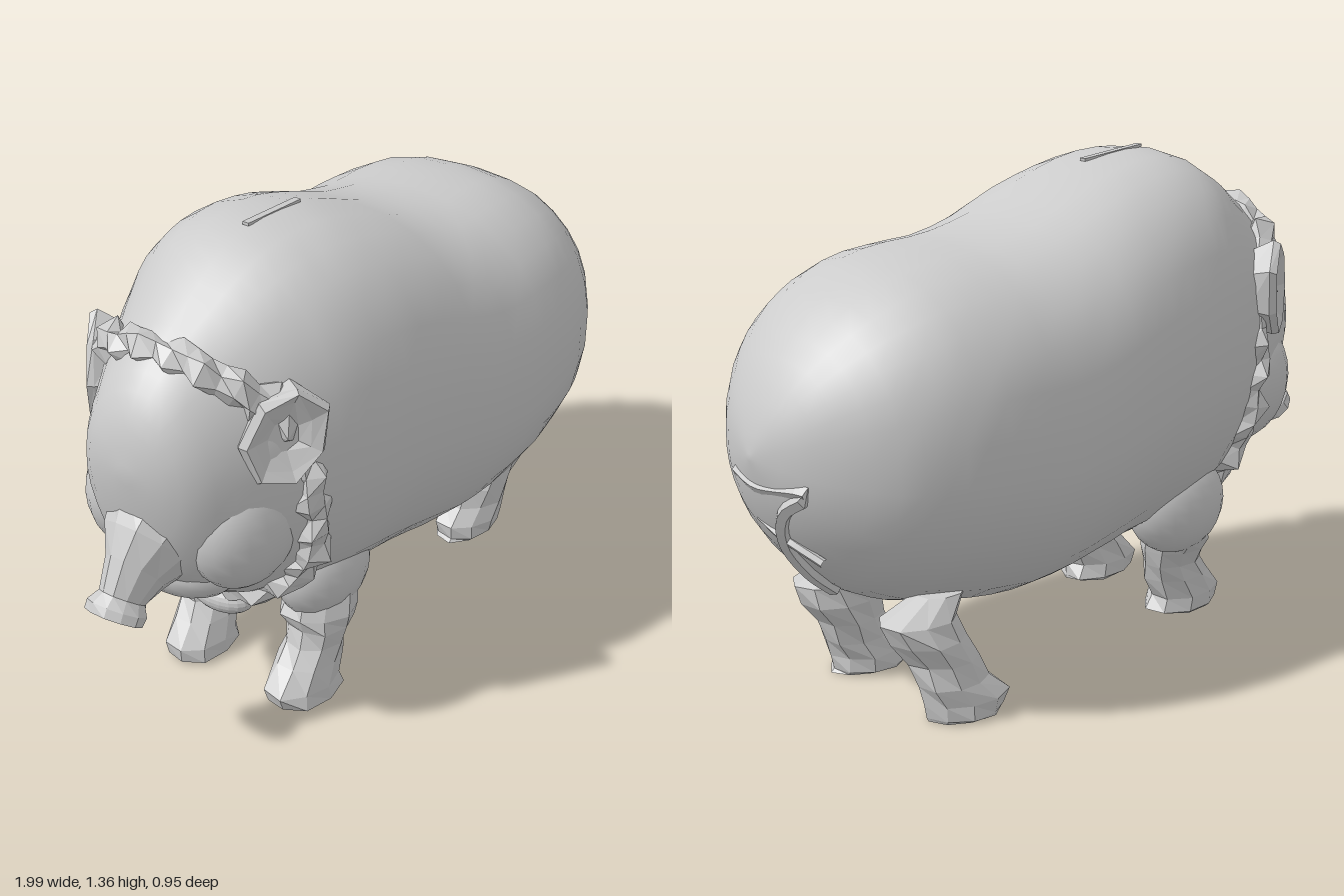
import * as THREE from 'three';

const V = (x, y, z) => new THREE.Vector3(x, y, z);
const smooth = new THREE.MeshStandardMaterial({ color: 0xcccccc });
const faceted = new THREE.MeshStandardMaterial({ color: 0xcccccc, flatShading: true });

// Small repeatable noise in -0.5..0.5
let seed = 7;
const rnd = () => (seed = (seed * 16807) % 2147483647) / 2147483647 - 0.5;

// Skin over rings { c, u, v, full }; u x v points along the loft,
// full < 1 widens the +u half beyond an ellipse
function loft(rings, n, jitter = 0) {
  const pos = [], idx = [];
  for (const { c, u, v, full = 1 } of rings) {
    for (let j = 0; j < n; j++) {
      const a = (j / n) * Math.PI * 2;
      const k = 1 + jitter * rnd();
      const cos = Math.cos(a), sin = Math.sin(a);
      const e = cos > 0 ? full : 1;
      const p = c.clone()
        .addScaledVector(u, Math.sign(cos) * Math.abs(cos) ** e * k)
        .addScaledVector(v, Math.sign(sin) * Math.abs(sin) ** e * k);
      pos.push(p.x, p.y, p.z);
    }
  }
  for (let i = 0; i < rings.length - 1; i++) {
    for (let j = 0; j < n; j++) {
      const a = i * n + j, b = i * n + (j + 1) % n;
      idx.push(a, b, a + n, b, b + n, a + n);
    }
  }
  const first = rings[0].c, last = rings[rings.length - 1].c;
  const s = rings.length * n, e = s - n;
  pos.push(first.x, first.y, first.z, last.x, last.y, last.z);
  for (let j = 0; j < n; j++) {
    const k = (j + 1) % n;
    idx.push(s, k, j, s + 1, e + j, e + k);
  }
  const g = new THREE.BufferGeometry();
  g.setAttribute('position', new THREE.Float32BufferAttribute(pos, 3));
  g.setIndex(idx);
  g.computeVertexNormals();
  return g;
}

export function createModel() {
  const root = new THREE.Group();
  root.name = 'piggyBank';
  const add = (name, geometry, material = faceted) => {
    const m = new THREE.Mesh(geometry, material);
    m.name = name;
    root.add(m);
    return m;
  };
  const ball = (name, size, at, material) => {
    const m = add(name, new THREE.SphereGeometry(1, 20, 14), material);
    m.scale.set(...size);
    m.position.set(...at);
  };

  // Head and body: x, underside, back line, half width
  const stations = [
    [-0.862, 0.83, 0.89, 0.03], [-0.845, 0.72, 0.98, 0.11], [-0.8, 0.56, 1.07, 0.185],
    [-0.72, 0.45, 1.15, 0.24], [-0.6, 0.37, 1.235, 0.3], [-0.5, 0.32, 1.3, 0.345],
    [-0.4, 0.28, 1.343, 0.39], [-0.3, 0.26, 1.355, 0.42], [-0.15, 0.25, 1.337, 0.445],
    [0, 0.23, 1.29, 0.46], [0.15, 0.205, 1.23, 0.472], [0.3, 0.2, 1.195, 0.477],
    [0.45, 0.22, 1.188, 0.475], [0.6, 0.255, 1.17, 0.455], [0.7, 0.29, 1.13, 0.42],
    [0.8, 0.35, 1.07, 0.36], [0.9, 0.46, 0.97, 0.25], [0.96, 0.57, 0.87, 0.15],
    [0.99, 0.67, 0.79, 0.06], [1, 0.72, 0.74, 0.01],
  ];
  const edge = new THREE.CatmullRomCurve3(stations.map(s => V(s[0], s[1], s[3])));
  const ridge = new THREE.CatmullRomCurve3(stations.map(s => V(s[0], s[2], 0)));
  const bodyRings = [];
  const steps = (stations.length - 1) * 2;
  for (let i = 0; i <= steps; i++) {
    const lo = edge.getPoint(i / steps), hi = ridge.getPoint(i / steps);
    bodyRings.push({
      c: V((lo.x + hi.x) / 2, (lo.y + hi.y) / 2, 0),
      u: V(0, (hi.y - lo.y) / 2, 0), v: V(0, 0, lo.z),
      full: 1 - 0.16 * THREE.MathUtils.smoothstep(lo.x, -0.75, -0.4),
    });
  }
  add('body', loft(bodyRings, 30, 0.008), smooth);

  // Snout: x, y, radius in profile, half width, direction
  const snout = [
    [-0.7, 0.68, 0.16, 0.17, -0.8, -0.6], [-0.78, 0.61, 0.14, 0.125, -0.75, -0.66],
    [-0.84, 0.56, 0.105, 0.08, -0.75, -0.66], [-0.893, 0.507, 0.07, 0.06, -0.6, -0.8],
    [-0.918, 0.49, 0.08, 0.08, -0.55, -0.83], [-0.935, 0.47, 0.074, 0.082, -0.55, -0.83],
    [-0.93, 0.478, 0.035, 0.05, -0.55, -0.83],
  ].map(([x, y, r, w, dx, dy]) => ({ c: V(x, y, 0), u: V(-dy * r, dx * r, 0), v: V(0, 0, w) }));
  add('snout', loft(snout, 11, 0.08));

  // Lower jaw
  ball('jaw', [0.13, 0.1, 0.17], [-0.64, 0.5, 0], smooth);

  // Cheeks, shoulders and cupped ears on both sides
  const earProfile = [[-0.12, 0.08], [-0.05, 0.12], [0.015, 0.145], [0.035, 0.13], [0.02, 0.095], [0.0, 0.05]];
  for (const s of [1, -1]) {
    const side = s > 0 ? 'left' : 'right';
    ball(side + 'Cheek', [0.18, 0.19, 0.135], [-0.605, 0.66, 0.165 * s], smooth);
    ball(side + 'Shoulder', [0.16, 0.15, 0.115], [-0.3, 0.365, s > 0 ? 0.195 : -0.225], smooth);

    // The rim leans up and back into a blunt tip
    const out = V(-0.58, -0.05, 0.81 * s).normalize();
    const tip = V(0.18, 0.98, 0.12 * s).normalize();
    const across = out.clone().cross(tip);
    const rings = earProfile.map(([d, r]) => ({
      c: V(-0.595, 0.945, 0.295 * s).addScaledVector(out, d).addScaledVector(tip, r * 0.08),
      u: tip.clone().multiplyScalar(r), v: across.clone().multiplyScalar(r * 0.8),
    }));
    add(side + 'Ear', loft(rings, 7, 0.2));
  }

  // Ruffled collar around the back of the head
  const half = [[-0.7, 1.14, 0], [-0.685, 1.11, 0.14], [-0.635, 1.06, 0.23], [-0.53, 0.92, 0.29],
    [-0.515, 0.75, 0.315], [-0.49, 0.6, 0.305], [-0.48, 0.46, 0.24], [-0.495, 0.37, 0.13], [-0.5, 0.33, 0]];
  const loop = half.concat(half.slice(1, -1).reverse().map(([x, y, z]) => [x, y, -z]));
  const collarPath = new THREE.CatmullRomCurve3(loop.map(p => V(...p)), true);
  const collar = new THREE.TubeGeometry(collarPath, 56, 0.045, 6, true);
  const cp = collar.attributes.position;
  for (let i = 0; i <= 56; i++) {
    const mid = collarPath.getPointAt((i % 56) / 56);
    const k = [0.8, 1.15, 0.95, 1.25][i % 4];
    for (let j = 0; j <= 6; j++) {
      const wave = 1 + 0.25 * Math.sin((i % 56) * 2.3 + (j % 6) * 2.1);
      const q = V(0, 0, 0).fromBufferAttribute(cp, i * 7 + j).sub(mid).multiplyScalar(k * wave).add(mid);
      cp.setXYZ(i * 7 + j, q.x, q.y, q.z);
    }
  }
  add('collar', collar);

  // Knot under the chin
  ball('collarKnot', [0.06, 0.05, 0.1], [-0.495, 0.295, 0], faceted);

  // Legs: y, x, half length, half width, share of the foot-to-hip shift
  const frontLeg = [[0.01, -0.405, 0.125, 0.09, 0], [0.05, -0.41, 0.12, 0.092, 0], [0.11, -0.375, 0.105, 0.08, 0.05],
    [0.16, -0.345, 0.09, 0.078, 0.2], [0.21, -0.335, 0.1, 0.09, 0.4], [0.25, -0.335, 0.11, 0.1, 0.55],
    [0.31, -0.315, 0.1, 0.09, 0.8], [0.38, -0.3, 0.07, 0.06, 1]];
  const hindLeg = [[0.01, 0.55, 0.115, 0.088, 0], [0.05, 0.55, 0.118, 0.09, 0], [0.1, 0.585, 0.1, 0.085, 0.2],
    [0.16, 0.605, 0.095, 0.09, 0.5], [0.22, 0.635, 0.11, 0.1, 0.8], [0.275, 0.655, 0.11, 0.09, 1],
    [0.33, 0.58, 0.07, 0.05, 1]];
  const legs = [
    ['frontLegLeft', frontLeg, 0.21, 0.2], ['frontLegRight', frontLeg, -0.15, -0.225],
    ['hindLegLeft', hindLeg, 0.125, 0.14], ['hindLegRight', hindLeg, -0.295, -0.235],
  ];
  for (const [name, table, zFoot, zHip] of legs) {
    const rings = table.map(([y, x, rx, rz, t]) => ({
      c: V(x, y, zFoot + (zHip - zFoot) * t), u: V(0, 0, rz), v: V(rx, 0, 0),
    }));
    rings.unshift({ ...rings[0], c: rings[0].c.clone().setY(0), u: V(0, 0, 0.075), v: V(0.11, 0, 0) });
    add(name, loft(rings, 9, 0.2));
  }

  // Curled tail lying on the rump
  const strand = (name, pts, r) => add(name, new THREE.TubeGeometry(
    new THREE.CatmullRomCurve3(pts.map(p => V(...p))), 24, r, 5));
  strand('tail', [[0.963, 0.67, 0.1], [0.972, 0.65, 0], [0.942, 0.66, -0.17], [0.958, 0.6, -0.09],
    [0.925, 0.5, -0.04], [0.855, 0.4, -0.04], [0.775, 0.33, -0.04]], 0.022);
  strand('tailCurl', [[0.93, 0.54, 0.06], [0.93, 0.51, -0.04], [0.89, 0.46, -0.15]], 0.013);

  // Coin slot along the top of the back
  const slot = add('coinSlot', new THREE.BoxGeometry(0.22, 0.008, 0.02));
  slot.position.set(-0.25, 1.349, 0);
  slot.rotation.z = -0.07;

  return root;
}
